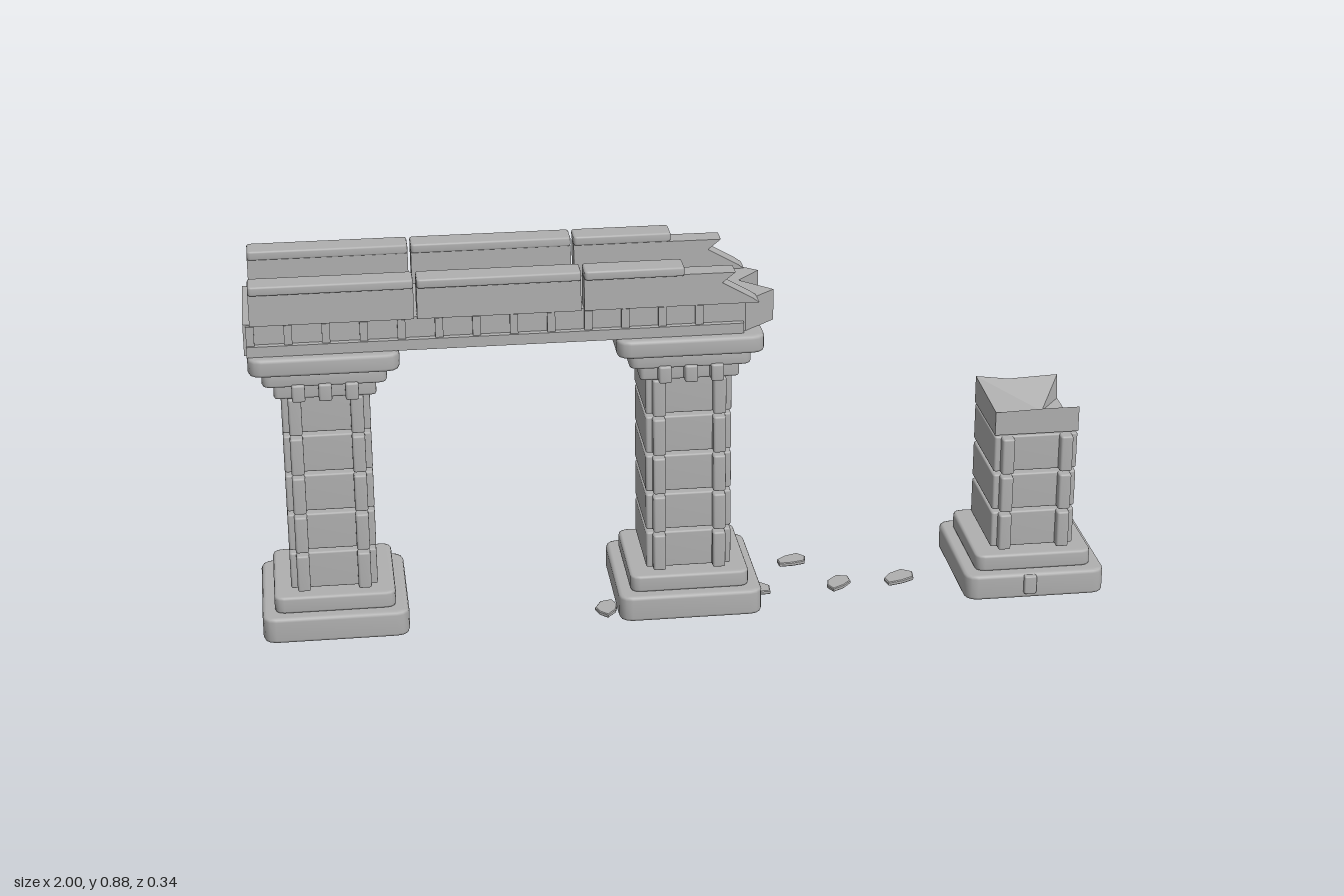
import * as THREE from 'three';
import { mergeVertices } from 'three/addons/utils/BufferGeometryUtils.js';

const stone = new THREE.MeshStandardMaterial({ color: 0xb0b0b0 });
stone.name = 'greyStone';

function add(parent, name, geometry, x = 0, y = 0, z = 0) {
  const mesh = new THREE.Mesh(geometry, stone);
  mesh.name = name;
  mesh.position.set(x, y, z);
  parent.add(mesh);
  return mesh;
}

// Plan outline given as [x, z] points, raised to height h with a small bevel
function raise(points, h, bevel, bevelSegments = 1) {
  const shape = new THREE.Shape(points.map(([x, z]) => new THREE.Vector2(x, -z)));
  const g = new THREE.ExtrudeGeometry(shape, {
    depth: h - 2 * bevel, bevelEnabled: bevel > 0, bevelThickness: bevel,
    bevelSize: bevel, bevelOffset: -bevel, bevelSegments,
  });
  g.rotateX(-Math.PI / 2);
  g.translate(0, bevel, 0);
  return g;
}

// Softly rounded rectangular slab standing on y = 0, smooth over its edges
function slab(w, h, d, r = 0.012, bevel = 0.006) {
  const pts = [];
  [[1, 1], [1, -1], [-1, -1], [-1, 1]].forEach(([sx, sz], corner) => {
    for (let i = 0; i <= 3; i++) {
      const a = Math.PI / 2 * (1 - corner - i / 3);
      pts.push([sx * (w / 2 - r) + r * Math.cos(a), sz * (d / 2 - r) + r * Math.sin(a)]);
    }
  });
  const g = raise(pts, h, bevel, 2);
  g.deleteAttribute('normal');
  g.deleteAttribute('uv');
  const merged = mergeVertices(g, 1e-5);
  merged.computeVertexNormals();
  return merged;
}

// Profile in x/y with a thickness along z, centred on z = 0
function profile(points, depth) {
  const g = new THREE.ExtrudeGeometry(
    new THREE.Shape(points.map(([x, y]) => new THREE.Vector2(x, y))),
    { depth, bevelEnabled: false });
  g.translate(0, 0, -depth / 2);
  return g;
}

// Two-step base and a stack of shaft blocks with raised corner bars
function pillar(name, x, blocks) {
  const p = new THREE.Group();
  p.name = name;
  p.position.x = x;
  add(p, 'plinth', slab(0.338, 0.062, 0.33, 0.03, 0.008), 0, 0.01);
  add(p, 'plinthStep', slab(0.28, 0.04, 0.274, 0.022), 0, 0.072);
  for (let i = 0; i < blocks; i++) {
    const y = 0.121 + i * 0.0975;
    add(p, 'shaftBlock', slab(0.2, 0.089, 0.21, 0.006, 0.004), 0, y);
    for (const sx of [-1, 1]) for (const sz of [-1, 1]) {
      add(p, 'cornerBar', slab(0.03, 0.089, 0.04, 0.006, 0.004), sx * 0.07, y, sz * 0.106);
    }
  }
  return p;
}

// Collar, corbels and two spreading plates
function addCapital(p) {
  add(p, 'collar', slab(0.23, 0.042, 0.25, 0.01), 0, 0.602);
  for (const sz of [-1, 1]) for (const i of [-1, 0, 1]) {
    add(p, 'corbel', slab(0.03, 0.04, 0.06, 0.006, 0.004), i * 0.06, 0.605, sz * 0.126);
  }
  add(p, 'capitalLower', slab(0.28, 0.033, 0.29, 0.02), 0, 0.638);
  add(p, 'capitalUpper', slab(0.338, 0.042, 0.33, 0.03, 0.008), 0, 0.671);
}

// Jagged hollow top: ring of [x, z, height] with a sunken centre
function brokenTop(y0) {
  const ring = [
    [-0.1, 0.105, 0.468], [0.02, 0.105, 0.472], [0.1, 0.105, 0.472], [0.1, 0.03, 0.41],
    [0.1, -0.095, 0.412], [0.1, -0.105, 0.47], [-0.02, -0.105, 0.465], [-0.1, -0.105, 0.476],
    [-0.1, 0, 0.472],
  ];
  const pos = [];
  ring.forEach(([ax, az, ah], i) => {
    const [bx, bz, bh] = ring[(i + 1) % ring.length];
    pos.push(ax, y0, az, bx, y0, bz, bx, bh, bz);
    pos.push(ax, y0, az, bx, bh, bz, ax, ah, az);
    pos.push(ax, ah, az, bx, bh, bz, 0.035, 0.425, 0.01);
    pos.push(bx, y0, bz, ax, y0, az, 0, y0, 0);
  });
  const g = new THREE.BufferGeometry();
  g.setAttribute('position', new THREE.Float32BufferAttribute(pos, 3));
  g.computeVertexNormals();
  return g;
}

// Flat irregular stone chip
function chip(parent, x, y, z, turn, size = 0.038, h = 0.01) {
  const pts = [];
  for (let i = 0; i < 7; i++) {
    const a = i / 7 * Math.PI * 2;
    const r = size * (0.88 + 0.16 * Math.sin(i * 2.3 + turn));
    pts.push([Math.cos(a) * r * 1.1, Math.sin(a) * r * 0.8]);
  }
  add(parent, 'rubble', raise(pts, h, 0.002), x, y, z).rotation.y = turn;
}

export function createModel() {
  const model = new THREE.Group();
  model.name = 'ruinedAqueduct';
  const body = new THREE.Group();
  body.name = 'masonry';
  body.position.z = -0.005;
  model.add(body);

  // Two whole pillars and a broken one
  for (const [name, x] of [['leftPillar', -0.825], ['middlePillar', 0.003]]) {
    const p = pillar(name, x, 5);
    addCapital(p);
    body.add(p);
  }
  const stump = pillar('brokenPillar', 0.829, 3);
  add(stump, 'brokenShaftTop', brokenTop(0.41));
  add(stump, 'plinthChip', slab(0.03, 0.045, 0.02, 0.004, 0.003), -0.015, 0.025, 0.166);
  body.add(stump);

  // Channel floor with a splintered end
  add(body, 'channelFloor', raise([
    [-1, 0.125], [0.13, 0.125], [0.205, 0.06], [0.135, -0.01],
    [0.19, -0.07], [0.125, -0.125], [-1, -0.125],
  ], 0.074, 0), 0, 0.712);

  for (const s of [-1, 1]) {
    const side = new THREE.Group();
    side.name = s > 0 ? 'frontParapet' : 'backParapet';
    body.add(side);

    // Ledge and row of dividers along the beam
    add(side, 'ledge', new THREE.BoxGeometry(1.12, 0.025, 0.03), -0.435, 0.725, s * 0.125);
    for (let i = 0; i < 13; i++) {
      add(side, 'divider', new THREE.BoxGeometry(0.018, 0.046, 0.02),
        -0.985 + i * 0.084, 0.76, s * 0.124);
    }

    // Whole wall sections with coping stones
    for (const [a, b] of [[-0.985, -0.62], [-0.613, -0.245]]) {
      add(side, 'wall', new THREE.BoxGeometry(b - a, 0.076, 0.049), (a + b) / 2, 0.823, s * 0.1125);
      add(side, 'coping', slab(b - a, 0.021, 0.063, 0.008, 0.004), (a + b) / 2, 0.86, s * 0.1175);
    }

    // Broken end section
    add(side, 'brokenWall', profile([
      [-0.238, 0.785], [0.16, 0.785], [0.145, 0.796], [0.075, 0.836],
      [0.105, 0.86], [-0.238, 0.861],
    ], 0.049), 0, 0, s * 0.1125);
    add(side, 'brokenCoping', slab(0.226, 0.021, 0.063, 0.008, 0.004), -0.125, 0.86, s * 0.1175);
  }

  // Scattered chips on and under the stones
  [
    [0.285, 0.01, -0.11, 0.3], [0.375, 0.01, 0.03, 0.8], [0.525, 0.01, 0.02, 0.5, 0.042],
    [-0.19, 0.01, 0.09, 1.2], [0.18, 0.01, 0.03, 2.0], [0.12, 0.008, -0.08, 0.4],
    [0.9, 0, -0.07, 0.1, 0.055, 0.012], [0.92, 0.068, -0.115, 0.9, 0.03, 0.008],
  ].forEach((c) => chip(model, ...c));

  return model;
}
